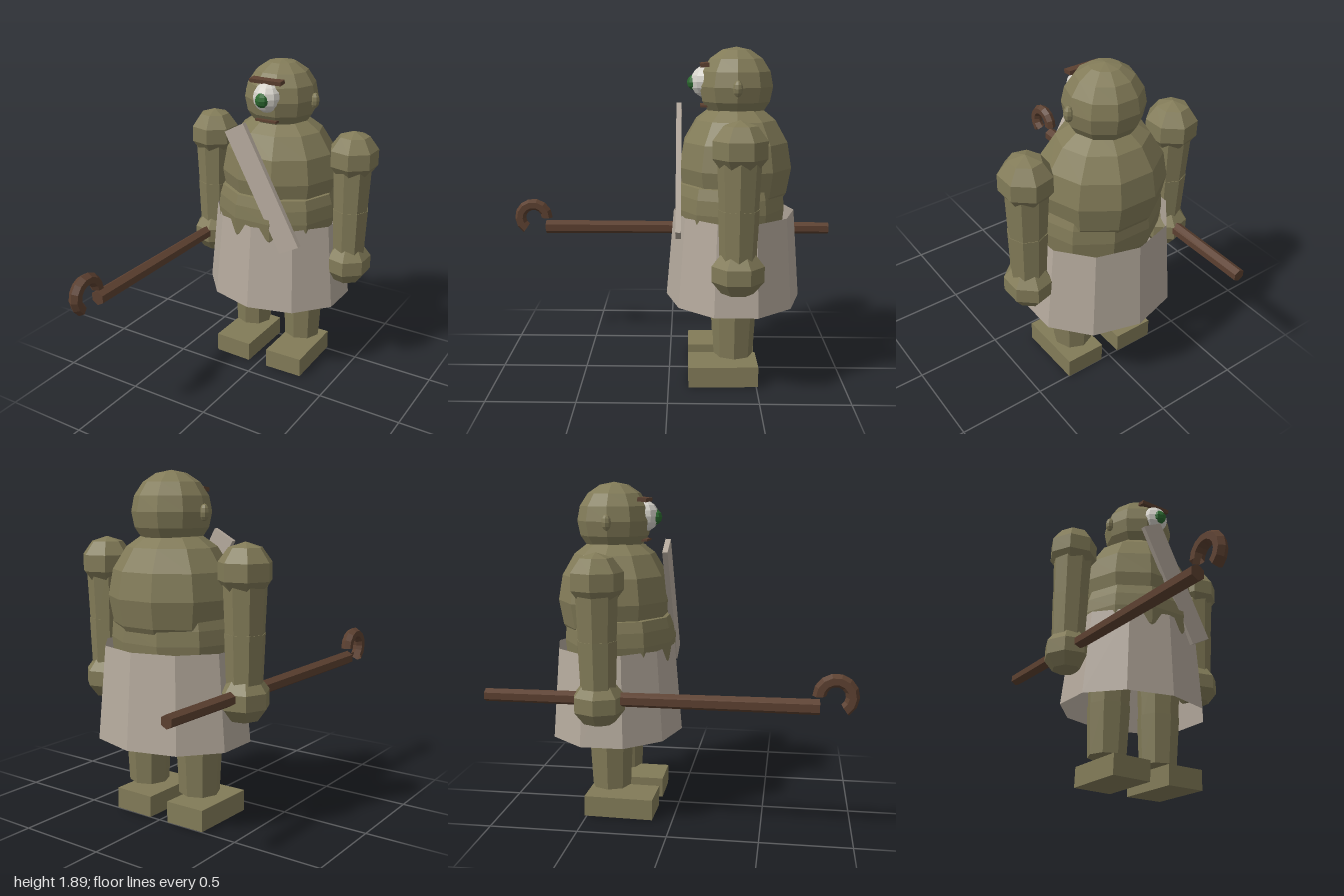
import * as THREE from 'three';

const material = (name, color) => {
  const m = new THREE.MeshStandardMaterial({ color, flatShading: true, side: THREE.DoubleSide });
  m.name = name;
  return m;
};

export function createModel() {
  const group = new THREE.Group();
  const skin = material('skin', 0x827b58);
  const cloth = material('cloth', 0xb5aa9d);
  const wood = material('wood', 0x5c4030);
  const eyeWhite = material('eyeWhite', 0xd6d3cb);
  const iris = material('iris', 0x2c6a30);
  const Z = -0.37; // depth of the body axis

  const add = (name, geometry, mat, x, y, z) => {
    const mesh = new THREE.Mesh(geometry, mat);
    mesh.name = name;
    mesh.position.set(x, y, z);
    group.add(mesh);
    return mesh;
  };
  const ball = (name, mat, x, y, z, rx, ry, rz, w = 10, h = 8) =>
    add(name, new THREE.SphereGeometry(1, w, h).scale(rx, ry, rz), mat, x, y, z);
  const limb = (name, x, yTop, yBottom, rTop, rBottom) =>
    add(name, new THREE.CylinderGeometry(rTop, rBottom, yTop - yBottom, 8),
      skin, x, (yTop + yBottom) / 2, Z);

  // Head and torso
  ball('head', skin, 0, 1.685, Z, 0.215, 0.215, 0.212);
  ball('chest', skin, 0, 1.24, Z, 0.355, 0.37, 0.325);
  const bellyProfile = [[0, 0.62], [0.55, 0.67], [0.85, 0.79], [0.97, 0.91], [1, 1.01], [0.98, 1.09], [0.93, 1.15], [0.6, 1.17]]
    .map(([r, y]) => new THREE.Vector2(r, y));
  add('belly', new THREE.LatheGeometry(bellyProfile, 10, Math.PI / 10).scale(0.37, 1, 0.32),
    skin, 0, 0, -0.34);

  // Face
  ball('eyeball', eyeWhite, 0.005, 1.71, -0.2, 0.085, 0.088, 0.085, 10, 8);
  ball('iris', iris, 0.005, 1.705, -0.142, 0.045, 0.045, 0.045, 8, 6);
  add('eyebrow', new THREE.BoxGeometry(0.2, 0.022, 0.05), wood, 0, 1.802, -0.195).rotation.x = 0.12;
  add('mouth', new THREE.BoxGeometry(0.135, 0.012, 0.04), wood, 0.005, 1.577, -0.193);

  // Skirt open at both ends, and the shoulder strap
  add('skirt', new THREE.CylinderGeometry(0.403, 0.452, 0.51, 10, 1, true)
    .scale(1, 1, 0.855), cloth, 0, 0.725, Z);
  add('strap', new THREE.BoxGeometry(0.137, 0.767, 0.03), cloth, 0.062, 1.218, -0.053).rotation.z = 0.5;

  // Paired parts
  for (const [side, s] of [['left', 1], ['right', -1]]) {
    ball(side + 'Ear', skin, s * 0.215, 1.682, Z, 0.027, 0.045, 0.027, 8, 6);

    const armX = s * 0.47;
    ball(side + 'Shoulder', skin, armX, 1.395, Z, 0.148, 0.148, 0.153, 7, 5);
    limb(side + 'UpperArm', armX, 1.38, 1.04, 0.118, 0.103);
    limb(side + 'Forearm', armX, 1.08, 0.75, 0.108, 0.095);
    ball(side + 'Hand', skin, armX, 0.74, Z, 0.138, 0.135, 0.15, 7, 5);

    const legX = s * 0.178;
    limb(side + 'Thigh', legX, 0.8, 0.42, 0.135, 0.12);
    limb(side + 'Shin', legX, 0.47, 0.175, 0.127, 0.112);
    const foot = add(side + 'Foot', new THREE.BoxGeometry(0.238, 0.118, 0.395), skin, s * 0.18, 0.068, -0.31);
    foot.rotation.set(0.01, 0.01 * s, 0.012 * s);
  }

  // Staff held in the right hand, with its hook floating just off the end
  add('staffShaft', new THREE.CylinderGeometry(0.043, 0.036, 1.8, 6), wood, -0.465, 0.76, -0.1)
    .rotation.x = Math.PI / 2;
  add('staffHook', new THREE.TorusGeometry(0.085, 0.036, 6, 9, 4.1), wood, -0.465, 0.82, 0.88)
    .rotation.y = Math.PI / 2;

  return group;
}
